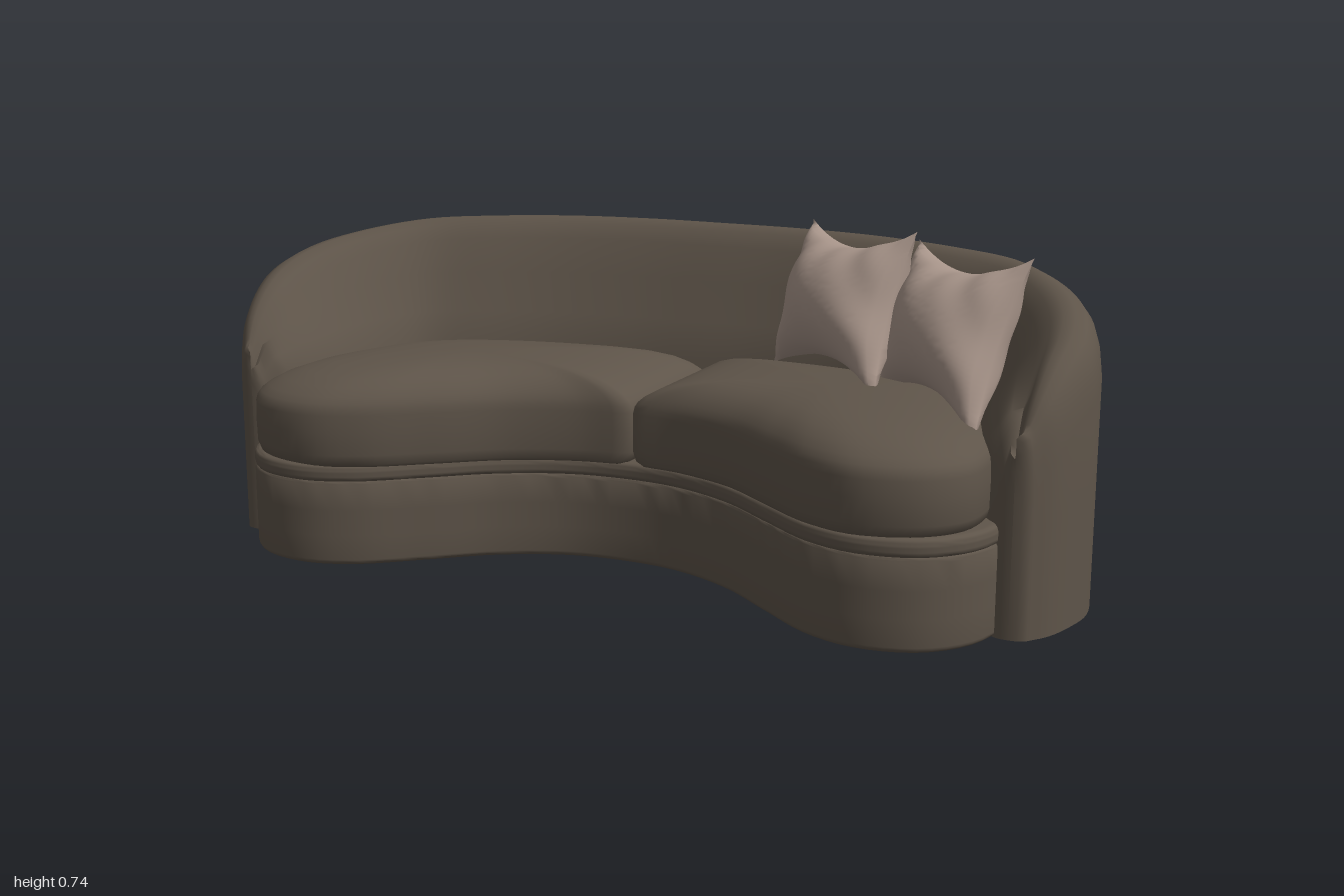
import * as THREE from 'three';
import { toCreasedNormals, mergeGeometries } from 'three/addons/utils/BufferGeometryUtils.js';

const fabric = new THREE.MeshStandardMaterial({ color: 0x5e5449 });
fabric.name = 'brown upholstery';
const pillowCloth = new THREE.MeshStandardMaterial({ color: 0xa8958a });
pillowCloth.name = 'taupe pillow cloth';

const V = (x, y, z) => new THREE.Vector3(x, y, z);

// Skin a list of closed rings that all have the same number of points
function loft(rings, crease) {
  const n = rings[0].length, pos = [], idx = [];
  rings.forEach(r => r.forEach(p => pos.push(p.x, p.y, p.z)));
  for (let i = 0; i < rings.length - 1; i++) {
    for (let j = 0; j < n; j++) {
      const a = i * n + j, b = i * n + (j + 1) % n, c = b + n, d = a + n;
      idx.push(a, b, c, a, c, d);
    }
  }
  const g = new THREE.BufferGeometry();
  g.setAttribute('position', new THREE.Float32BufferAttribute(pos, 3));
  g.setIndex(idx);
  return toCreasedNormals(g, crease);
}

function add(group, name, geometry, material) {
  const mesh = new THREE.Mesh(geometry, material);
  mesh.name = name;
  group.add(mesh);
}

// Half of the wrap-around back: outer x, outer z, inner x, inner z, height
const backHalf = [
  [0, -.47, 0, -.26, .692], [.2, -.465, .18, -.255, .692], [.4, -.44, .38, -.225, .69],
  [.6, -.388, .55, -.17, .684], [.77, -.322, .67, -.11, .674], [.9, -.19, .725, -.03, .652],
  [.98, -.04, .755, .05, .622], [1, .08, .775, .12, .585], [.982, .17, .8, .19, .54],
  [.957, .235, .825, .24, .485], [.925, .278, .855, .278, .425],
];

function backGeometry() {
  const left = backHalf.slice(1).reverse().map(([a, b, c, d, h]) => [-a, b, -c, d, h]);
  const stations = [...left, ...backHalf];
  const outer = new THREE.CatmullRomCurve3(stations.map(s => V(s[0], s[4] - .012 * s[0], s[1])));
  const inner = new THREE.CatmullRomCurve3(stations.map(s => V(s[2], 0, s[3])));
  const rings = [], N = 100;
  for (let i = 0; i <= N; i++) {
    const o = outer.getPoint(i / N), q = inner.getPoint(i / N);
    const h = o.y, foot = Math.min(.38, h - .1);
    // Section: straight outside, rolled top, sloping inside
    const section = [
      [0, 0], [0, h * .5], [0, h - .12], [.025, h - .07], [.07, h - .035], [.14, h - .012],
      [.24, h - .001], [.34, h], [.44, h - .015], [.54, h - .05],
      [.68, THREE.MathUtils.lerp(h, foot, .42)], [.84, THREE.MathUtils.lerp(h, foot, .72)],
      [1, foot], [1, 0],
    ];
    rings.push(section.map(([f, y]) => V(o.x + (q.x - o.x) * f, y, o.z + (q.z - o.z) * f)));
  }
  // Rounded arm fronts: shrink the last section while pushing it forward
  const front = (ring, s, dz) => {
    const cx = (ring[0].x + ring[13].x) / 2;
    return ring.map(p => V(cx + (p.x - cx) * s, p.y * (.97 + .03 * s), p.z + dz));
  };
  const steps = [[.8, .006], [.45, .01], [0, .011]];
  const startCap = steps.map(([s, dz]) => front(rings[0], s, dz)).reverse();
  const endCap = steps.map(([s, dz]) => front(rings[N], s, dz));
  return loft([...startCap, ...rings, ...endCap], 1.2);
}

// Half of the bean-shaped plinth, from front middle to back middle (x, z)
const baseHalf = [
  [0, .158], [.13, .173], [.27, .235], [.4, .335], [.52, .425], [.63, .46], [.75, .438], [.83, .365],
  [.865, .27], [.87, .1], [.83, -.05], [.7, -.24], [.4, -.35], [0, -.38],
];

function slab(y0, y1, bevel) {
  const mirrored = baseHalf.slice(1, -1).reverse().map(([x, z]) => [-x, z]);
  const curve = new THREE.CatmullRomCurve3([...baseHalf, ...mirrored].map(([x, z]) => V(x, z, 0)), true);
  const shape = new THREE.Shape(curve.getSpacedPoints(150).slice(0, -1).map(p => new THREE.Vector2(p.x, p.y)));
  const g = new THREE.ExtrudeGeometry(shape, {
    depth: y1 - y0 - 2 * bevel, steps: 3, bevelEnabled: true, bevelThickness: bevel,
    bevelSize: bevel, bevelOffset: -bevel, bevelSegments: 4,
  });
  g.rotateX(Math.PI / 2).translate(0, y1 - bevel, 0);
  return toCreasedNormals(g, .7);
}

// Outline of one seat cushion, from front seam round the end to back seam (x, z)
const cushionOutline = [
  [.02, .145], [.028, .158], [.05, .163], [.13, .177], [.27, .237], [.4, .337], [.52, .427], [.63, .464],
  [.75, .435], [.82, .36], [.835, .24], [.81, .1], [.76, -.03], [.68, -.125], [.56, -.195], [.38, -.25],
  [.18, -.278], [.04, -.28], [.02, -.26],
];

function cushionGeometry(side) {
  const pts = new THREE.CatmullRomCurve3(cushionOutline.map(([x, z]) => V(x, 0, z))).getSpacedPoints(90);
  for (let i = 1; i < 14; i++) pts.push(V(.02, 0, -.26 + .405 * i / 14));
  if (side < 0) {
    pts.forEach(p => { p.x = .02 - (p.x - .02) * 1.05; });
    pts.reverse();
  }
  const cx = .02 + side * .43, cz = .1;
  // Scale about the middle and height for each ring, bottom to crown
  const profile = [
    [0, .223], [.96, .223], [.985, .23], [1, .25], [1.003, .3], [1, .338], [.992, .352], [.975, .363],
    [.94, .376], [.87, .393], [.77, .408], [.64, .42], [.45, .429], [.22, .434], [0, .435],
  ];
  return loft(profile.map(([s, y]) => pts.map(p => V(cx + (p.x - cx) * s, y, cz + (p.z - cz) * s))), 1.2);
}

// Throw pillow stretched between four corners, puffed on both faces
function pillowGeometry(TL, TR, BL, BR) {
  const normal = TR.clone().sub(TL).cross(TL.clone().sub(BL)).normalize();
  const faces = [1, -1].map(side => {
    const g = new THREE.PlaneGeometry(2, 2, 32, 32);
    const p = g.attributes.position;
    for (let i = 0; i < p.count; i++) {
      const u = p.getX(i) * side, v = p.getY(i);
      const eu = 1 - u * u, ev = 1 - v * v;
      // Edges draw inward between the pointed corners
      const a = (u * (1 - .13 * ev) + 1) / 2, b = (v * (1 - .3 * eu) + 1) / 2;
      const top = TL.clone().lerp(TR, a), point = BL.clone().lerp(BR, a).lerp(top, b);
      const fold = .008 * Math.sin(9 * u * v + 5 * u) * Math.sqrt(eu * ev) * (u * u + v * v);
      point.addScaledVector(normal, side * (.105 * Math.pow(eu * ev, .55) + fold));
      p.setXYZ(i, point.x, point.y, point.z);
    }
    return g;
  });
  return toCreasedNormals(mergeGeometries(faces), 1);
}

export function createModel() {
  const sofa = new THREE.Group();
  sofa.name = 'curved sofa';

  add(sofa, 'wraparoundBack', backGeometry(), fabric);
  add(sofa, 'base', slab(0, .192, .012), fabric);
  add(sofa, 'baseTrim', slab(.186, .227, .014), fabric);
  add(sofa, 'leftSeatCushion', cushionGeometry(1), fabric);
  add(sofa, 'rightSeatCushion', cushionGeometry(-1), fabric);

  add(sofa, 'innerPillow', pillowGeometry(
    V(.28, .73, -.27), V(.585, .74, -.06), V(.225, .41, -.17), V(.55, .41, .1)), pillowCloth);
  add(sofa, 'outerPillow', pillowGeometry(
    V(.56, .71, -.165), V(.855, .712, .04), V(.51, .4, -.06), V(.79, .365, .215)), pillowCloth);

  return sofa;
}
